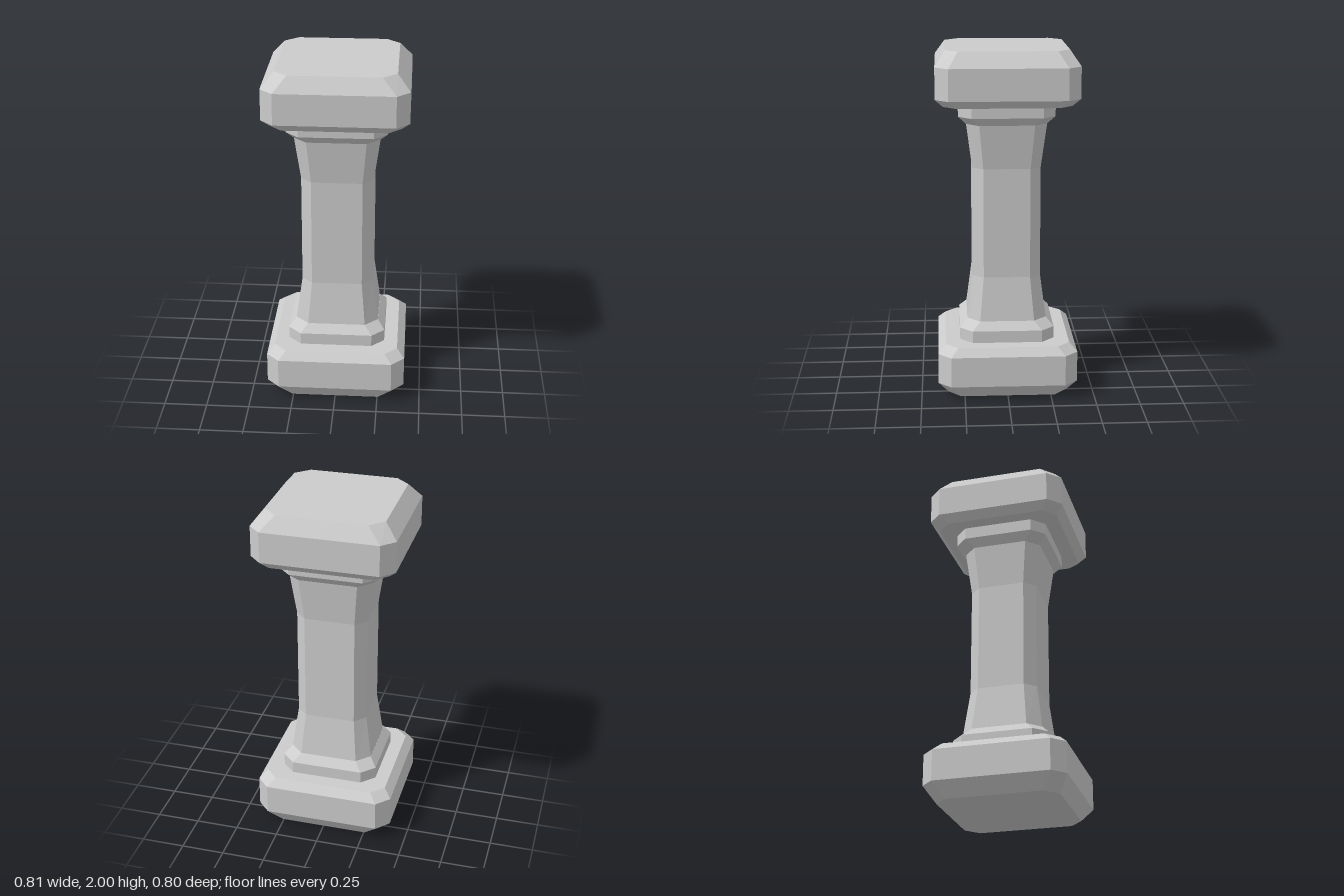
import * as THREE from 'three';

const material = new THREE.MeshStandardMaterial({ color: 0xcccccc, flatShading: true });

// Rectangle with cut corners; w, d are half sizes, fx, fz the half lengths of the flat sides
function section([y, w, d, fx, fz]) {
  return [[w, fz], [fx, d], [-fx, d], [-w, fz], [-w, -fz], [-fx, -d], [fx, -d], [w, -fz]]
    .map(([x, z]) => [x, y, z]);
}

// Closed solid through a stack of sections, listed from bottom to top
function loft(name, levels) {
  const rings = levels.map(section);
  const pos = [];
  const tri = (a, b, c) => pos.push(...a, ...b, ...c);
  const n = 8;
  for (let r = 0; r < rings.length - 1; r++) {
    const lo = rings[r], hi = rings[r + 1];
    for (let i = 0; i < n; i++) {
      const j = (i + 1) % n;
      tri(lo[i], hi[i], lo[j]);
      tri(hi[i], hi[j], lo[j]);
    }
  }
  const bottom = rings[0], top = rings[rings.length - 1];
  for (let i = 1; i < n - 1; i++) {
    tri(bottom[0], bottom[i], bottom[i + 1]);
    tri(top[0], top[i + 1], top[i]);
  }
  const geometry = new THREE.BufferGeometry();
  geometry.setAttribute('position', new THREE.Float32BufferAttribute(pos, 3));
  geometry.computeVertexNormals();
  const mesh = new THREE.Mesh(geometry, material);
  mesh.name = name;
  return mesh;
}

// Same profile upside down, for the upper end of the pillar
const flip = (levels) => levels.map(([y, ...rest]) => [2 - y, ...rest]).reverse();

export function createModel() {
  const group = new THREE.Group();
  group.name = 'pillar';

  // Wide chamfered block: steep bevel outside, small bevel towards the shaft
  const block = [
    [0, 0.333, 0.345, 0.255, 0.273],
    [0.085, 0.405, 0.402, 0.332, 0.328],
    [0.263, 0.405, 0.402, 0.332, 0.328],
    [0.308, 0.362, 0.358, 0.29, 0.286],
  ];
  // Narrow step between block and shaft
  const collar = [
    [0.3, 0.283, 0.273, 0.209, 0.2],
    [0.378, 0.283, 0.273, 0.209, 0.2],
    [0.425, 0.243, 0.23, 0.168, 0.157],
  ];
  // Shaft, flared at both ends
  const shaft = [
    [0.42, 0.243, 0.23, 0.168, 0.157],
    [0.68, 0.207, 0.196, 0.146, 0.134],
    [1.32, 0.207, 0.196, 0.146, 0.134],
    [1.58, 0.243, 0.23, 0.168, 0.157],
  ];

  group.add(
    loft('base', block),
    loft('lowerCollar', collar),
    loft('shaft', shaft),
    loft('upperCollar', flip(collar)),
    loft('capital', flip(block)),
  );
  return group;
}
